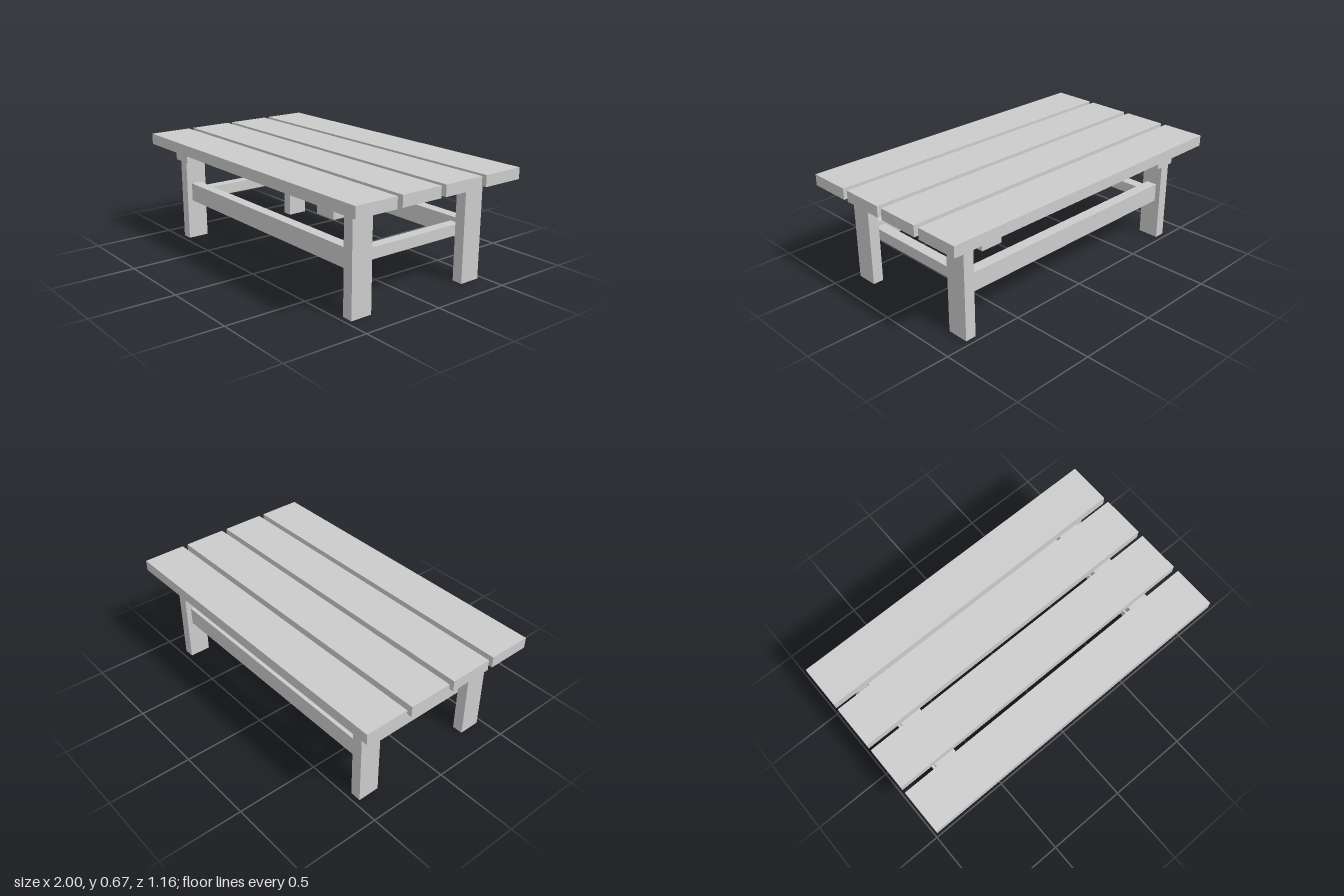
import * as THREE from 'three';

const material = new THREE.MeshStandardMaterial({ color: 0xcccccc });

export function createModel() {
  const table = new THREE.Group();
  table.name = 'plankTable';

  // Adds a timber given its size and centre
  const timber = (name, [w, h, d], [x, y, z]) => {
    const mesh = new THREE.Mesh(new THREE.BoxGeometry(w, h, d), material);
    mesh.name = name;
    mesh.position.set(x, y, z);
    table.add(mesh);
  };

  const thick = 0.066;   // common board thickness
  const legHeight = 0.6;

  // Four top planks with narrow gaps
  for (let i = 0; i < 4; i++) {
    timber('topPlank', [2, thick, 0.265], [0, legHeight + thick / 2, (i - 1.5) * 0.299]);
  }

  for (const side of [-1, 1]) {
    // Legs at the corners
    for (const end of [-1, 1]) {
      timber('leg', [thick, legHeight, 0.132], [side * 0.813, legHeight / 2, end * 0.401]);
    }
    // Flat bearer under the planks, inside the legs
    timber('topBearer', [0.132, thick, 1.066], [side * 0.714, legHeight - thick / 2, 0]);
    // Short stretcher between the long ones
    timber('endStretcher', [thick, thick, 0.736], [side * 0.747, 0.301, 0]);
    // Long stretcher joining the legs
    timber('longStretcher', [1.56, 0.112, thick], [0, 0.304, side * 0.401]);
  }

  return table;
}
